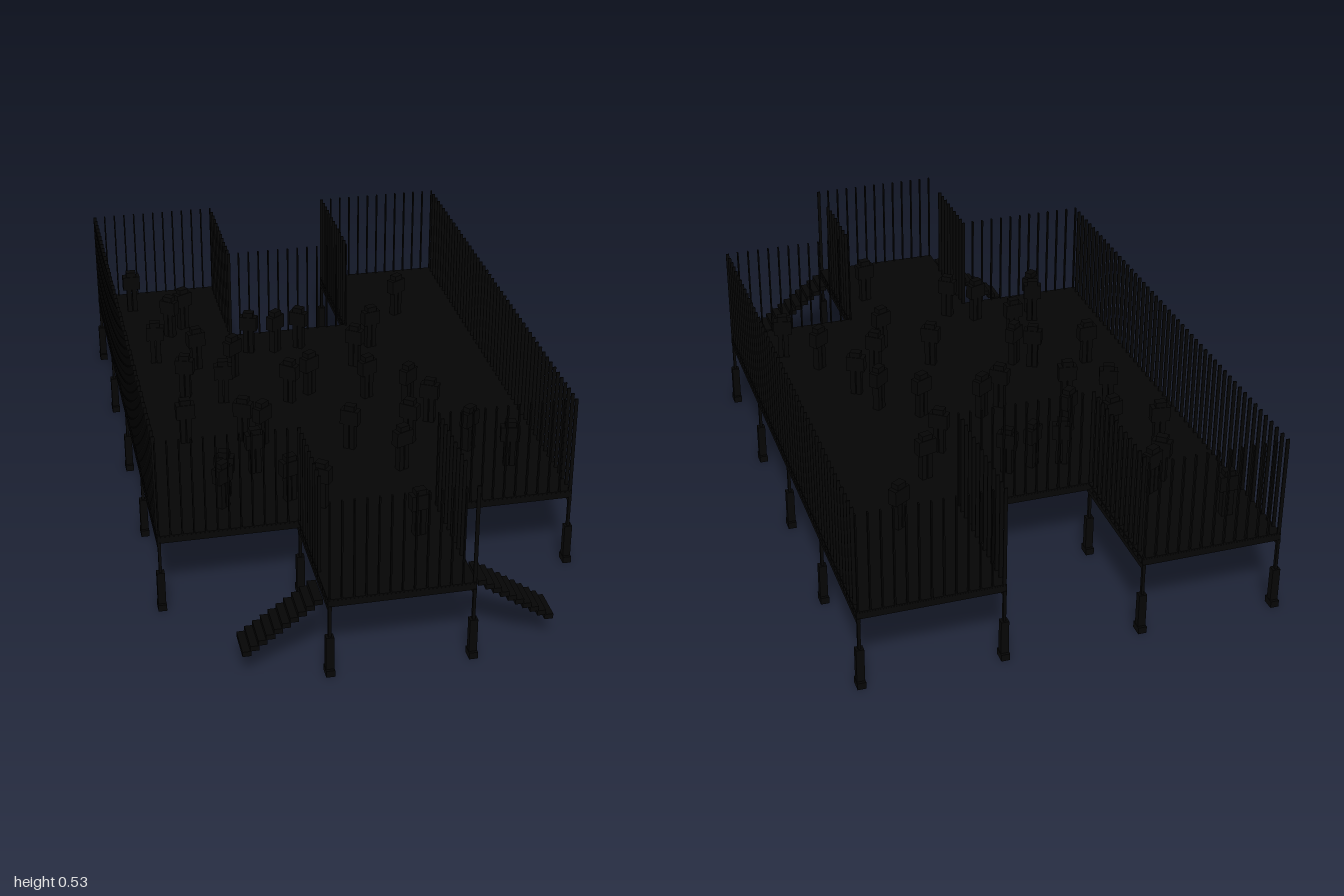
import * as THREE from 'three';
import { mergeGeometries } from 'three/addons/utils/BufferGeometryUtils.js';

const black = new THREE.MeshStandardMaterial({ color: 0x050505 });

// Box given by its size and centre
function box(w, h, d, x, y, z) {
  return new THREE.BoxGeometry(w, h, d).translate(x, y, z);
}

function part(name, geometries) {
  const mesh = new THREE.Mesh(mergeGeometries(geometries), black);
  mesh.name = name;
  return mesh;
}

const A = 0.195, B = 0.588, C = 0.98; // column grid
const TOP = 0.236;                    // deck surface

// Deck areas as [x0, x1, z0, z1]
const areas = [
  [-B, -A, -C, -B], [A, B, -C, -B], // two back wings
  [-B, B, -B, B],                   // main floor
  [-A, A, B, C],                    // front landing
];

function deckParts() {
  const planks = [], joists = [], beams = [];
  for (const [x0, x1, z0, z1] of areas) {
    const w = x1 - x0 + 0.01, d = z1 - z0, cx = (x0 + x1) / 2, cz = (z0 + z1) / 2;
    planks.push(box(w, 0.005, d + 0.006, cx, TOP - 0.0025, cz));
    const n = Math.round(d / 0.0327);
    for (let i = 0; i <= n; i++) {
      joists.push(box(w, 0.019, 0.007, cx, 0.2225, z0 + (d * i) / n));
    }
    for (const x of [-B, -A, A, B]) {
      if (x >= x0 && x <= x1) beams.push(box(0.01, 0.014, d + 0.01, x, 0.208, cz));
    }
  }
  return [part('deckFloor', planks), part('floorJoists', joists), part('floorBeams', beams)];
}

// Columns: wide foot, pedestal and slim post
function columns() {
  const feet = [], posts = [];
  for (const z of [-C, -B, -A, A, B, C]) {
    for (const x of z === C ? [-A, A] : [-B, -A, A, B]) {
      feet.push(box(0.024, 0.02, 0.036, x, 0.01, z));
      feet.push(box(0.022, 0.1, 0.02, x, 0.07, z));
      posts.push(box(0.008, 0.1, 0.01, x, 0.165, z));
    }
  }
  return [part('columnFeet', feet), part('columnPosts', posts)];
}

// Upright bars along the whole outline, open at the stairs
function railing() {
  const outline = [
    [-A, C], [A, C], [A, B], [B, B], [B, -C], [A, -C],
    [A, -B], [-A, -B], [-A, -C], [-B, -C], [-B, B], [-A, B],
  ];
  const bars = [], h = 0.53 - TOP;
  outline.forEach(([x0, z0], k) => {
    const [x1, z1] = outline[(k + 1) % outline.length];
    const alongX = z0 === z1;
    const n = Math.round(Math.hypot(x1 - x0, z1 - z0) / 0.0327);
    for (let i = 0; i < n; i++) {
      const x = x0 + ((x1 - x0) * i) / n, z = z0 + ((z1 - z0) * i) / n;
      if (z > 0.87 && z < 0.965) continue;
      bars.push(box(alongX ? 0.004 : 0.01, h, alongX ? 0.01 : 0.004, x, TOP + h / 2, z));
    }
  });
  return part('railingBars', bars);
}

// Flight of ten treads going down sideways
function stairs(side) {
  const treads = [];
  for (let i = 0; i < 10; i++) {
    treads.push(box(0.024, 0.015, 0.095, side * (0.221 + i * 0.0212), 0.219 - i * 0.015, 0.918));
  }
  return part(side > 0 ? 'leftStairs' : 'rightStairs', treads);
}

// Blocky standing figure
function figure(x, z, yaw) {
  return mergeGeometries([
    box(0.015, 0.084, 0.022, -0.009, 0.042, 0),
    box(0.015, 0.084, 0.022, 0.009, 0.042, 0),
    box(0.056, 0.046, 0.028, 0, 0.104, 0),
    box(0.032, 0.018, 0.024, 0, 0.134, 0),
  ]).rotateY(yaw).translate(x, TOP, z);
}

const spots = [
  [-0.49, -0.85], [-0.34, -0.68], [-0.39, -0.63], [0.38, -0.64], [-0.46, -0.45],
  [-0.155, -0.46], [-0.07, -0.45], [0.01, -0.46], [-0.34, -0.38], [0.24, -0.42],
  [0.16, -0.295], [-0.235, -0.3], [-0.4, -0.2], [-0.29, -0.14], [-0.02, -0.14],
  [-0.09, -0.1], [0.15, -0.08], [-0.44, 0.085], [-0.27, 0.11], [-0.22, 0.145],
  [0.3, 0.11], [-0.27, 0.3], [0.15, 0.37], [0.21, 0.22], [0.37, 0.3],
  [0.46, 0.41], [-0.375, 0.41], [-0.39, 0.47], [-0.12, 0.525], [-0.2, 0.47],
  [0.11, 0.72], [0.03, 0.22], [0.26, 0],
];

export function createModel() {
  const model = new THREE.Group();
  model.name = 'raisedPlatform';
  model.add(...deckParts(), ...columns(), railing(), stairs(1), stairs(-1));
  model.add(part('standingFigures', spots.map(([x, z], i) => figure(x, z, Math.sin(i * 2.4) * 0.7))));
  return model;
}
